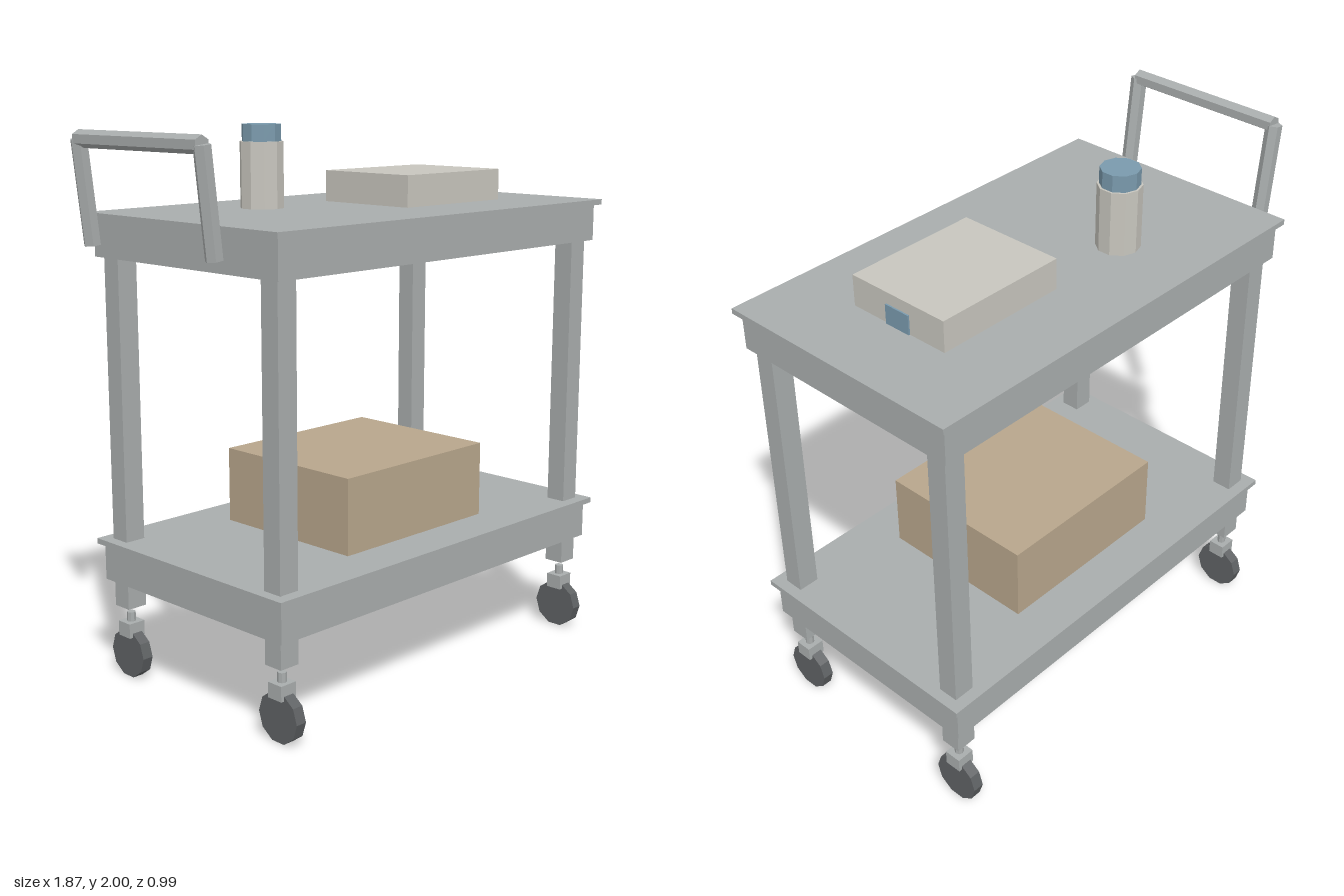
import * as THREE from 'three';

export function createModel() {
  const cart = new THREE.Group();
  cart.name = 'utilityCart';

  const material = (name, color) => {
    const m = new THREE.MeshStandardMaterial({ color });
    m.name = name;
    return m;
  };
  const grey = material('cart grey', 0xa9adad);
  const dark = material('wheel rubber', 0x5f6264);
  const tan = material('cardboard', 0xb8a68c);
  const cream = material('container cream', 0xc8c6be);
  const blue = material('lid blue', 0x7a9aad);

  const add = (name, geometry, mat, parent = cart) => {
    const mesh = new THREE.Mesh(geometry, mat);
    mesh.name = name;
    parent.add(mesh);
    return mesh;
  };

  // Box given by its min and max on each axis
  const box = (name, [x0, x1], [y0, y1], [z0, z1], mat, parent) => {
    const mesh = add(name, new THREE.BoxGeometry(x1 - x0, y1 - y0, z1 - z0), mat, parent);
    mesh.position.set((x0 + x1) / 2, (y0 + y1) / 2, (z0 + z1) / 2);
    return mesh;
  };

  // Faceted cylinder with flat normals
  const prism = (radius, height, sides) => {
    const g = new THREE.CylinderGeometry(radius, radius, height, sides).toNonIndexed();
    g.computeVertexNormals();
    return g;
  };

  // Two shelves, each an apron under a thin overhanging top
  for (const [name, top] of [['upperShelf', 1.705], ['lowerShelf', 0.525]]) {
    const shelf = new THREE.Group();
    shelf.name = name;
    cart.add(shelf);
    box('shelfApron', [-0.74, 0.912], [top - 0.155, top - 0.02], [-0.465, 0.465], grey, shelf);
    box('shelfTop', [-0.76, 0.934], [top - 0.02, top], [-0.485, 0.485], grey, shelf);
  }

  // Corner posts and casters
  for (const x of [-0.68, 0.852]) {
    for (const z of [-0.402, 0.402]) {
      box('post', [x - 0.04, x + 0.04], [0.27, 1.56], [z - 0.038, z + 0.038], grey);
      const caster = new THREE.Group();
      caster.name = 'caster';
      caster.position.set(x, 0, z);
      cart.add(caster);
      add('casterStem', prism(0.016, 0.05, 8), grey, caster).position.y = 0.22;
      box('casterBracket', [-0.034, 0.034], [0.155, 0.21], [-0.032, 0.032], grey, caster);
      const wheel = add('wheel', prism(0.0915, 0.042, 10), dark, caster);
      wheel.rotation.z = Math.PI / 2;
      wheel.position.y = 0.087;
    }
  }

  // Tilted push handle made from six-sided bars
  const handle = new THREE.Group();
  handle.name = 'pushHandle';
  cart.add(handle);
  const top = new THREE.Vector2(-0.903, 1.965);
  const foot = new THREE.Vector2(-0.862, 1.612);
  const length = top.distanceTo(foot);
  for (const z of [-0.31, 0.31]) {
    const arm = add('handleArm', prism(0.03, length, 6).rotateY(Math.PI / 2), grey, handle);
    arm.position.set((top.x + foot.x) / 2, (top.y + foot.y) / 2, z);
    arm.rotation.z = Math.atan2(foot.x - top.x, top.y - foot.y);
  }
  const grip = add('handleGrip', prism(0.03, 0.62, 6), grey, handle);
  grip.rotation.x = Math.PI / 2;
  grip.position.set(top.x, top.y, 0);

  // Cardboard box on the lower shelf
  box('cardboardBox', [-0.273, 0.447], [0.525, 0.805], [-0.31, 0.31], tan);

  // Flat case with a blue label on its side
  box('flatCase', [0.138, 0.653], [1.705, 1.82], [-0.206, 0.206], cream);
  box('caseLabel', [0.652, 0.659], [1.705, 1.777], [-0.052, 0.052], blue);

  // Jar with lid
  add('jar', prism(0.079, 0.235, 10), cream).position.set(-0.223, 1.8225, -0.166);
  add('jarLid', prism(0.071, 0.06, 10), blue).position.set(-0.223, 1.97, -0.166);

  return cart;
}
